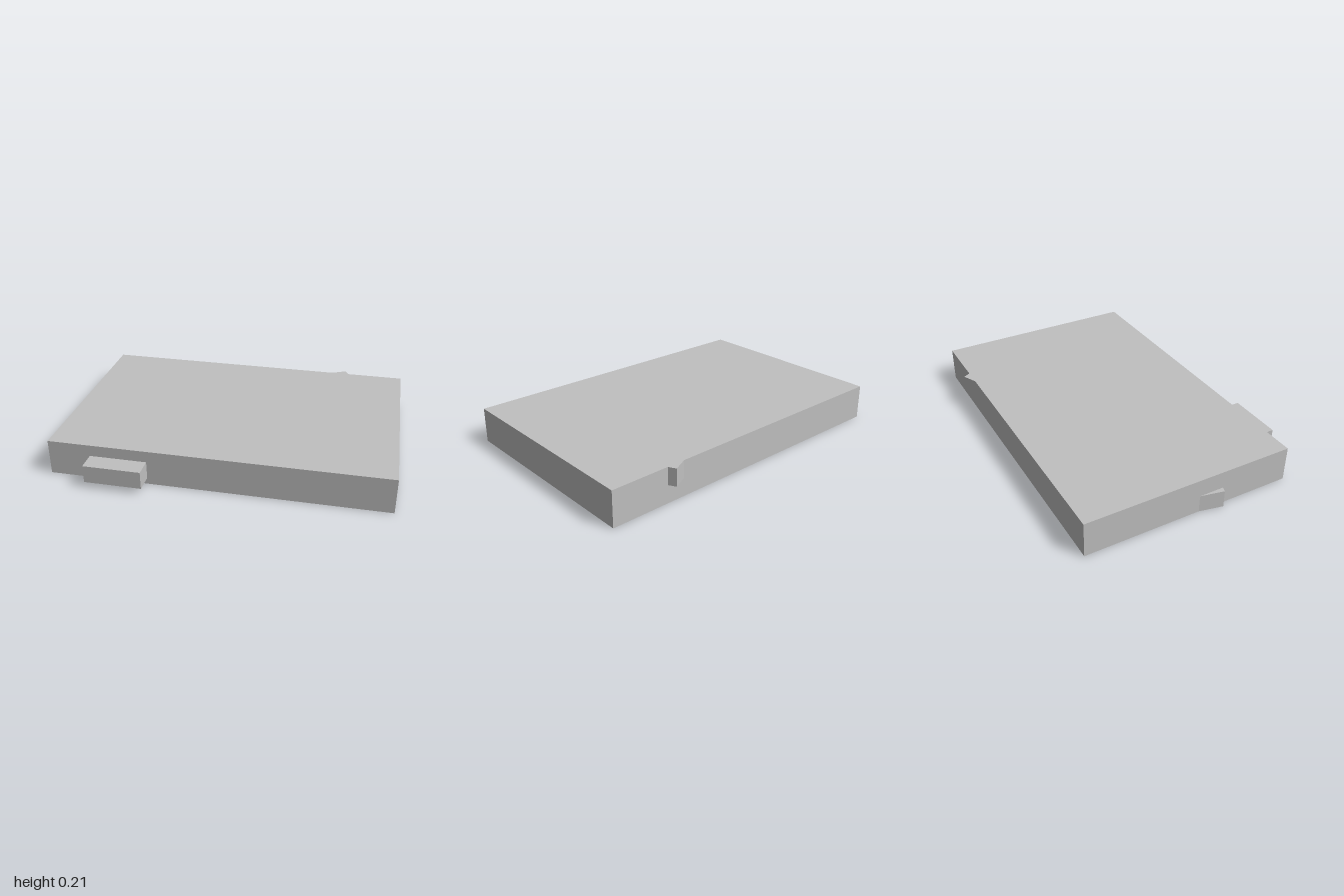
import * as THREE from 'three';

export function createModel() {
  const model = new THREE.Group();
  const grey = new THREE.MeshStandardMaterial({ color: 0xc0c0c0 });
  grey.name = 'light grey';

  const add = (name, geometry) => {
    const mesh = new THREE.Mesh(geometry, grey);
    mesh.name = name;
    model.add(mesh);
  };

  // Box given by its extents on each axis
  const box = (name, [x0, x1], [y0, y1], [z0, z1]) => {
    const geometry = new THREE.BoxGeometry(x1 - x0, y1 - y0, z1 - z0);
    geometry.translate((x0 + x1) / 2, (y0 + y1) / 2, (z0 + z1) / 2);
    add(name, geometry);
  };

  // Upright prism from a plan outline of [x, z] points
  const prism = (name, outline, y0, y1) => {
    const shape = new THREE.Shape(outline.map(([x, z]) => new THREE.Vector2(x, -z)));
    const geometry = new THREE.ExtrudeGeometry(shape, { depth: y1 - y0, bevelEnabled: false });
    geometry.rotateX(-Math.PI / 2).translate(0, y0, 0);
    add(name, geometry);
  };

  // Flat slab body
  box('body', [-0.97, 0.998], [0, 0.211], [-0.668, 0.598]);

  // Block standing out of the front face
  box('frontBlock', [-0.72, -0.385], [0.038, 0.143], [0.598, 0.71]);

  // Wedge catches on the back and right edges
  prism('backCatch', [[0.54, -0.668], [0.627, -0.71], [0.65, -0.668]], 0.107, 0.211);
  prism('sideCatch', [[-0.97, 0.02], [-1, 0.16], [-0.97, 0.168]], 0, 0.105);

  return model;
}
